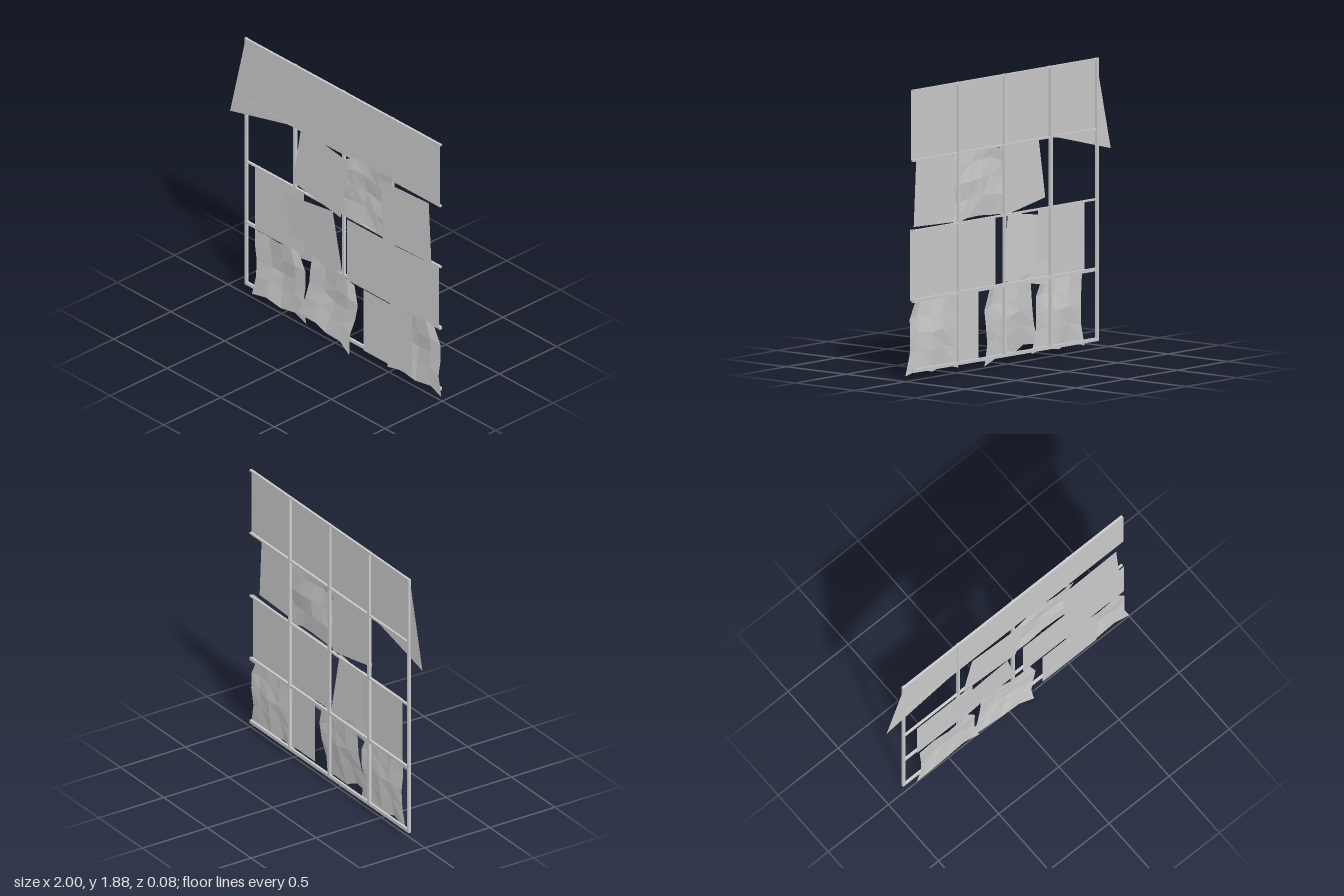
import * as THREE from 'three';

const grey = new THREE.MeshStandardMaterial({ color: 0xcccccc, side: THREE.DoubleSide, flatShading: true });

// Flat sheet from outline points [x, y]; tiltX and tiltY lean it in z about its middle
function sheet(name, pts, z, tiltX = 0, tiltY = 0) {
  const g = new THREE.ShapeGeometry(new THREE.Shape(pts.map(p => new THREE.Vector2(...p))));
  const p = g.attributes.position;
  g.computeBoundingBox();
  const c = g.boundingBox.getCenter(new THREE.Vector3());
  for (let i = 0; i < p.count; i++) {
    p.setZ(i, z + tiltX * (p.getX(i) - c.x) + tiltY * (p.getY(i) - c.y));
  }
  g.computeVertexNormals();
  const m = new THREE.Mesh(g, grey);
  m.name = name;
  return m;
}

const rect = (x0, y0, x1, y1) => [[x0, y0], [x1, y0], [x1, y1], [x0, y1]];

// Edges of the draped cloth, about its middle: five points each
const top = [[-0.235, 0.24], [-0.11, 0.235], [0, 0.24], [0.1, 0.255], [0.165, 0.245]];
const bottom = [[-0.26, -0.25], [-0.12, -0.215], [0, -0.245], [0.14, -0.22], [0.255, -0.25]];
const left = [[-0.26, -0.25], [-0.225, -0.11], [-0.22, 0.01], [-0.23, 0.12], [-0.235, 0.24]];
const right = [[0.255, -0.25], [0.22, -0.11], [0.23, 0.01], [0.23, 0.12], [0.165, 0.245]];

// Rippled cloth: a patch blended between its four edges
function cloth(name, x, y, turn, z, tiltX = 0, tiltY = 0) {
  const g = new THREE.PlaneGeometry(1, 1, 4, 4);
  const p = g.attributes.position;
  for (let k = 0; k < p.count; k++) {
    const i = k % 5, j = 4 - Math.floor(k / 5), u = i / 4, v = j / 4;
    const q = [0, 1].map(a =>
      (1 - v) * bottom[i][a] + v * top[i][a] + (1 - u) * left[j][a] + u * right[j][a]
      - (1 - u) * (1 - v) * bottom[0][a] - u * (1 - v) * bottom[4][a]
      - (1 - u) * v * top[0][a] - u * v * top[4][a]);
    const ripple = 0.008 * Math.sin(i * 1.9 + j * 0.8) + 0.006 * Math.cos(j * 1.7);
    p.setXYZ(k, q[0], q[1], ripple + tiltX * q[0] + tiltY * q[1]);
  }
  g.computeVertexNormals();
  const m = new THREE.Mesh(g, grey);
  m.name = name;
  m.position.set(x, y, z);
  m.rotation.z = turn;
  return m;
}

function bar(name, w, h, d, x, y, z) {
  const m = new THREE.Mesh(new THREE.BoxGeometry(w, h, d), grey);
  m.name = name;
  m.position.set(x, y, z);
  return m;
}

export function createModel() {
  const model = new THREE.Group();
  model.name = 'patchworkScreen';
  const step = 0.455, x0 = -0.855, y0 = 0.073;

  // Lattice behind the sheets
  const frame = new THREE.Group();
  frame.name = 'frame';
  for (let i = 0; i < 4; i++) {
    frame.add(bar('upright', 0.02, 1.825, 0.018, x0 + i * step, 0.978, -0.025));
  }
  for (let j = 0; j < 5; j++) {
    const h = j < 2 ? 0.022 : 0.012;
    frame.add(bar('rail', 1.825, h, 0.016, 0.05, y0 + j * 0.4525, -0.024));
  }
  model.add(frame);

  // Top row, with a loose skewed sheet at one end
  model.add(sheet('looseTopSheet',
    [[-0.855, 1.888], [-1, 1.29], [-0.47, 1.42], [-0.4, 1.425], [-0.4, 1.888]], -0.018));
  for (let i = 1; i < 4; i++) {
    const x = x0 + i * step;
    model.add(sheet('topSheet', rect(x, 1.435, x + step, 1.888), -0.014));
  }

  // Upper middle row
  model.add(sheet('turnedUpperSheet', [[-0.385, 1.04], [0.055, 0.962], [0.13, 1.405], [-0.31, 1.478]], 0.005, -0.01));
  model.add(cloth('upperCloth', 0.29, 1.22, Math.PI / 2, -0.008));
  model.add(sheet('upperSheet', [[0.455, 0.98], [0.91, 0.995], [0.885, 1.432], [0.435, 1.41]], 0.01));

  // Lower middle row
  model.add(sheet('lowerSheet', rect(-0.755, 0.525, -0.297, 0.98), -0.007));
  model.add(sheet('turnedLowerSheet', [[-0.395, 0.475], [0.055, 0.55], [-0.015, 0.98], [-0.465, 0.915]], -0.003, 0, 0.04));
  model.add(sheet('lowerSheet', rect(0.115, 0.525, 0.567, 0.975), 0.002));
  model.add(sheet('lowerSheet', [[0.51, 0.525], [0.963, 0.525], [0.963, 0.985], [0.51, 0.963]], -0.006));

  // Bottom row of hanging cloths and one flat sheet
  model.add(cloth('lowerCloth', -0.51, 0.29, 0, 0));
  model.add(cloth('turnedCloth', -0.03, 0.3, -0.183, 0.005, 0.04, -0.05));
  model.add(cloth('lowerCloth', 0.743, 0.29, 0, -0.008));
  model.add(sheet('bottomSheet', rect(0.272, 0.073, 0.724, 0.525), 0.008));
  return model;
}
